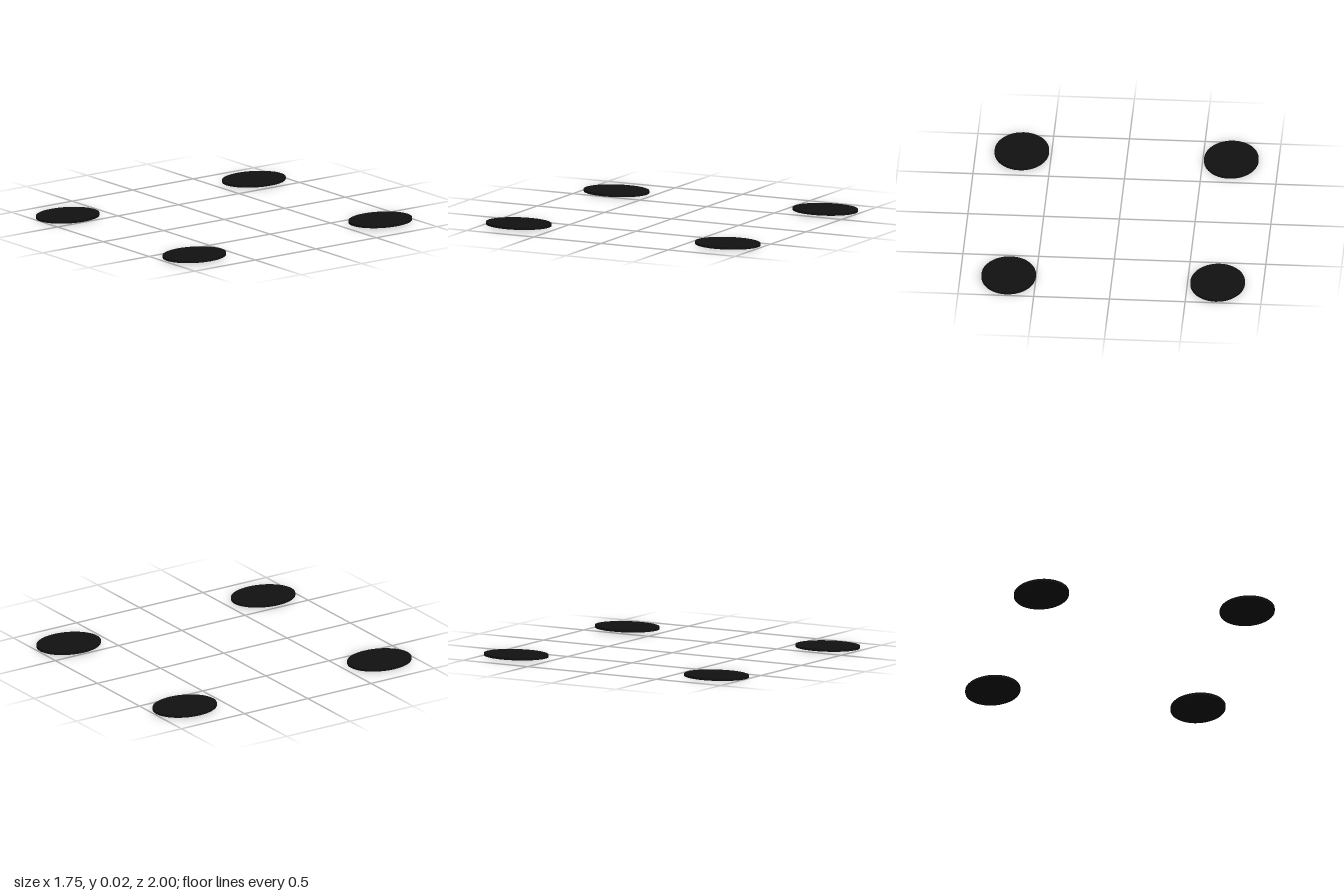
import * as THREE from 'three';

const RADIUS_X = 0.18;
const RADIUS_Z = 0.225;
const THICKNESS = 0.016;

// name, centre x, underside y, centre z
const PADS = [
  ['frontLeftPad', 0.695, 0.008, 0.773],
  ['frontRightPad', -0.688, 0, 0.773],
  ['backLeftPad', 0.68, 0.008, -0.775],
  ['backRightPad', -0.7, 0.008, -0.775],
];

export function createModel() {
  const model = new THREE.Group();
  model.name = 'footPads';

  // Thin oval disc shared by all four pads
  const disc = new THREE.CylinderGeometry(1, 1, THICKNESS, 48);
  disc.scale(RADIUS_X, 1, RADIUS_Z);
  disc.translate(0, THICKNESS / 2, 0);
  const rubber = new THREE.MeshStandardMaterial({ color: 0x111111 });

  for (const [name, x, y, z] of PADS) {
    const pad = new THREE.Mesh(disc, rubber);
    pad.name = name;
    pad.position.set(x, y, z);
    model.add(pad);
  }
  return model;
}
